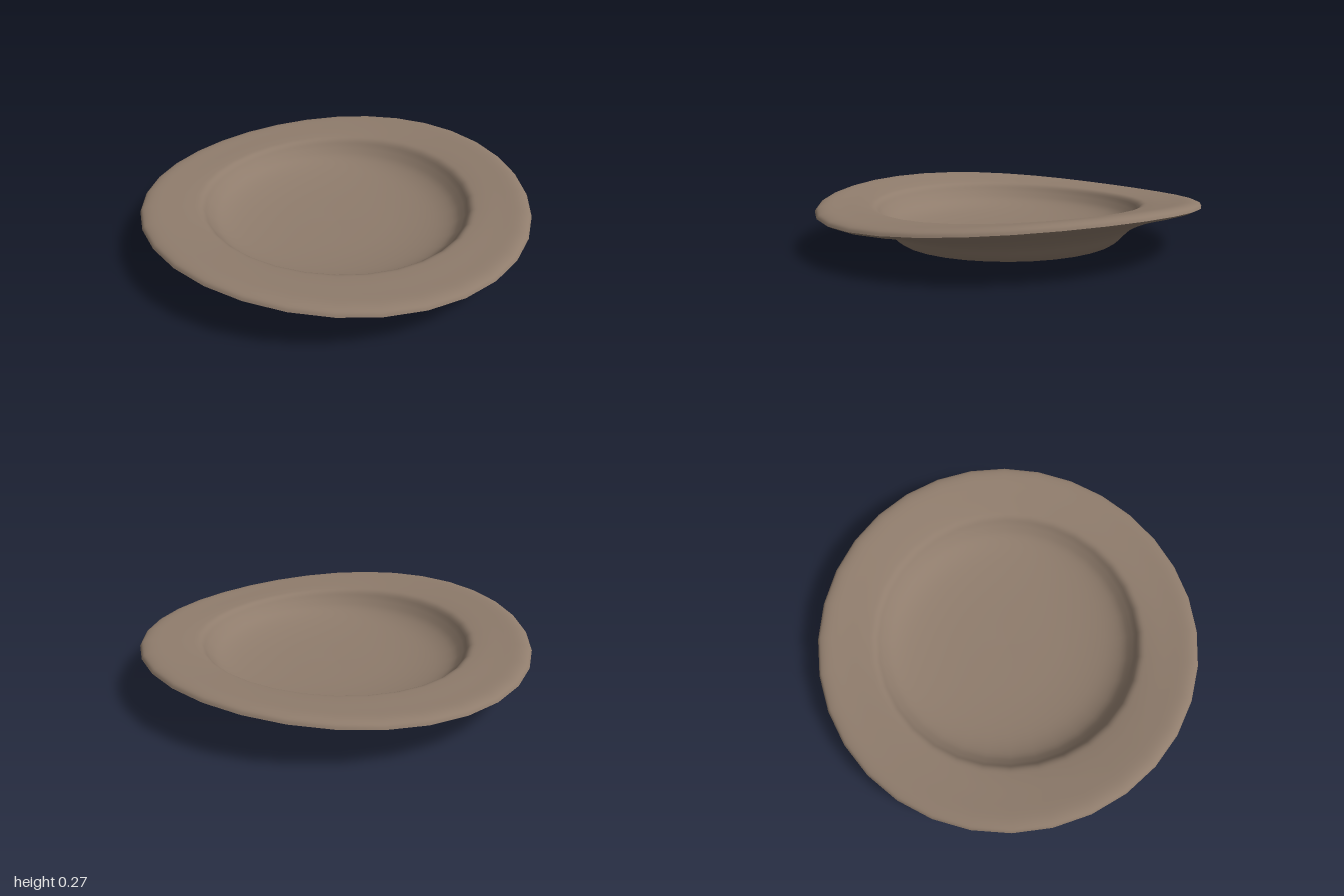
import * as THREE from 'three';

const clay = new THREE.MeshStandardMaterial({ color: 0x8f7c6c });
clay.name = 'brown clay';

// Smooth a run of [radius, height] points into lathe profile points
function smooth(points, count) {
  const curve = new THREE.SplineCurve(points.map(([r, y]) => new THREE.Vector2(r, y)));
  return curve.getPoints(count).map((p) => new THREE.Vector2(Math.max(p.x, 0), p.y));
}

// Warp the turned form like hand-thrown clay: the rim rises and falls twice per turn
function warp(geometry) {
  const pos = geometry.attributes.position;
  const normals = geometry.attributes.normal;
  for (let i = 0; i < pos.count; i++) {
    const x = pos.getX(i), y = pos.getY(i), z = pos.getZ(i);
    const r = Math.hypot(x, z);
    const lift = THREE.MathUtils.smoothstep(r, 0.5, 1);
    const saddle = r > 0 ? (-2 * x * z) / (r * r) : 0;
    const foot = y < 0.04 ? 0.006 * x : 0;
    pos.setY(i, Math.max(0, y + 0.033 * lift * saddle + foot));
    pos.setX(i, x - 0.012 * (1 - lift) * (r > 0.4 ? -1 : 0) * (r - 0.4));
    pos.setZ(i, z * 0.988);
  }
  // Average normals, then join them across the lathe seam
  geometry.computeVertexNormals();
  const rows = geometry.parameters.points.length;
  const last = pos.count - rows;
  const a = new THREE.Vector3(), b = new THREE.Vector3();
  for (let j = 0; j < rows; j++) {
    a.fromBufferAttribute(normals, j).add(b.fromBufferAttribute(normals, last + j)).normalize();
    normals.setXYZ(j, a.x, a.y, a.z);
    normals.setXYZ(last + j, a.x, a.y, a.z);
  }
  return geometry;
}

function addTurned(group, name, profile) {
  const mesh = new THREE.Mesh(warp(new THREE.LatheGeometry(profile, 32)), clay);
  mesh.name = name;
  group.add(mesh);
}

export function createModel() {
  const group = new THREE.Group();
  group.name = 'dish';

  // Flat foot, flaring wall and underside of the rim
  addTurned(group, 'underside', smooth([
    [0, 0.002], [0.3, 0.003], [0.5, 0.007], [0.565, 0.018], [0.605, 0.05],
    [0.66, 0.102], [0.75, 0.145], [0.86, 0.176], [0.96, 0.2], [1, 0.218],
  ], 36));

  // Rounded lip, broad rim and sunken well
  addTurned(group, 'rimAndWell', smooth([
    [1, 0.218], [0.985, 0.236], [0.94, 0.244], [0.85, 0.236], [0.75, 0.225],
    [0.7, 0.212], [0.665, 0.17], [0.61, 0.122], [0.5, 0.088], [0.3, 0.066], [0, 0.058],
  ], 40));

  return group;
}
